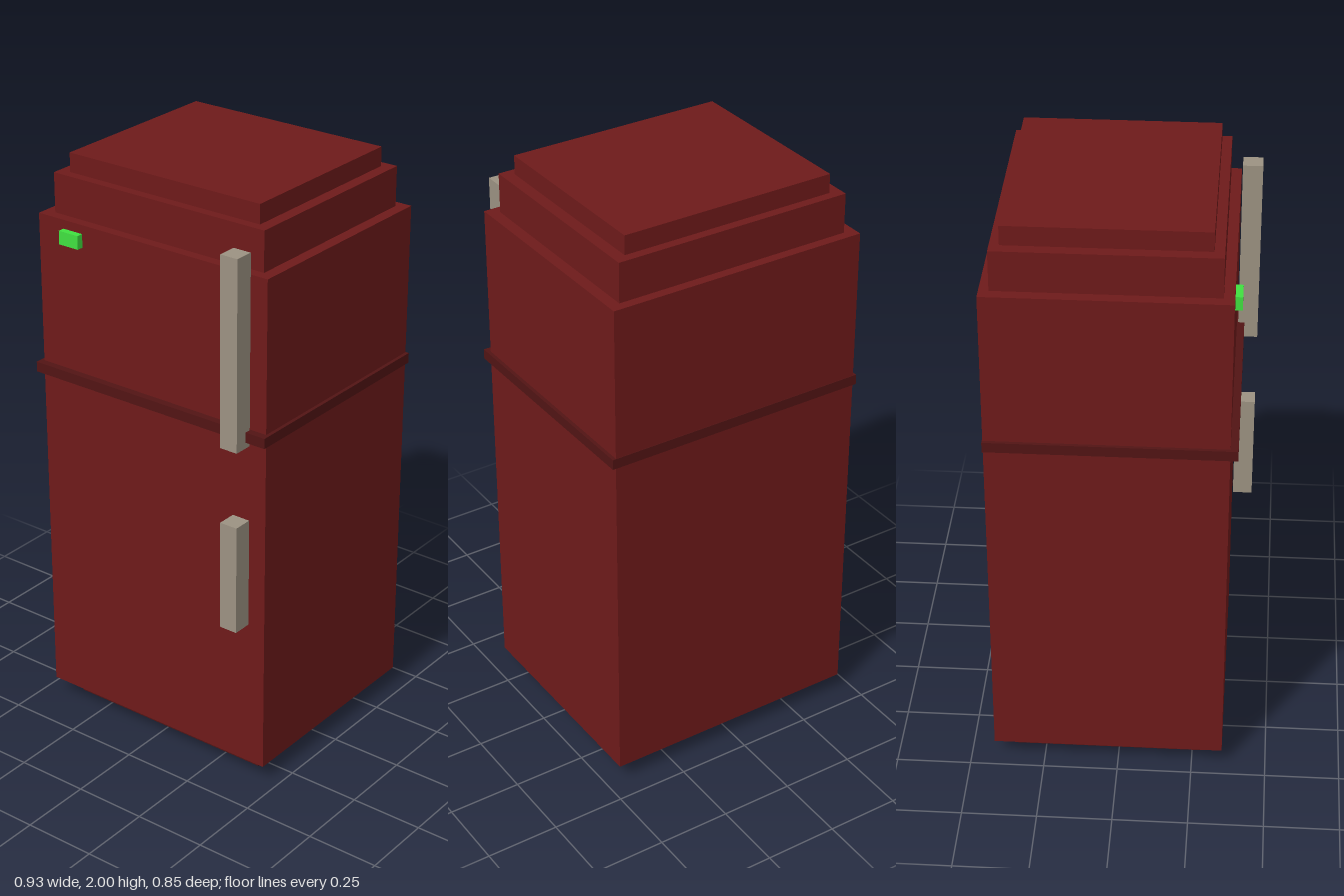
import * as THREE from 'three';

export function createModel() {
  const model = new THREE.Group();
  const paint = (color) => new THREE.MeshStandardMaterial({ color });
  const red = paint(0x6e1a1a);
  const darkRed = paint(0x521414);
  const metal = paint(0x9c9282);
  const green = paint(0x40e040);

  // Box given by its extents along each axis
  function box(name, material, [x0, x1], [y0, y1], [z0, z1]) {
    const mesh = new THREE.Mesh(new THREE.BoxGeometry(x1 - x0, y1 - y0, z1 - z0), material);
    mesh.position.set((x0 + x1) / 2, (y0 + y1) / 2, (z0 + z1) / 2);
    mesh.name = name;
    model.add(mesh);
  }

  // Cabinet: recessed plinth, main body and stepped top
  box('plinth', darkRed, [-0.385, 0.385], [0, 0.06], [-0.355, 0.287]);
  box('cabinet', red, [-0.452, 0.452], [0.06, 1.8], [-0.421, 0.352]);
  box('lowerTopStep', red, [-0.413, 0.413], [1.8, 1.935], [-0.389, 0.318]);
  box('upperTopStep', red, [-0.373, 0.373], [1.935, 2], [-0.358, 0.286]);

  // Band between the freezer and the fridge compartments
  box('dividerBand', darkRed, [-0.464, 0.464], [1.25, 1.285], [-0.423, 0.377]);

  // Door handles
  box('freezerHandle', metal, [0.328, 0.392], [1.23, 1.872], [0.356, 0.422]);
  box('fridgeHandle', metal, [0.328, 0.392], [0.588, 0.968], [0.356, 0.422]);

  // Indicator light
  box('indicatorLight', green, [-0.35, -0.273], [1.724, 1.77], [0.345, 0.375]);

  return model;
}
